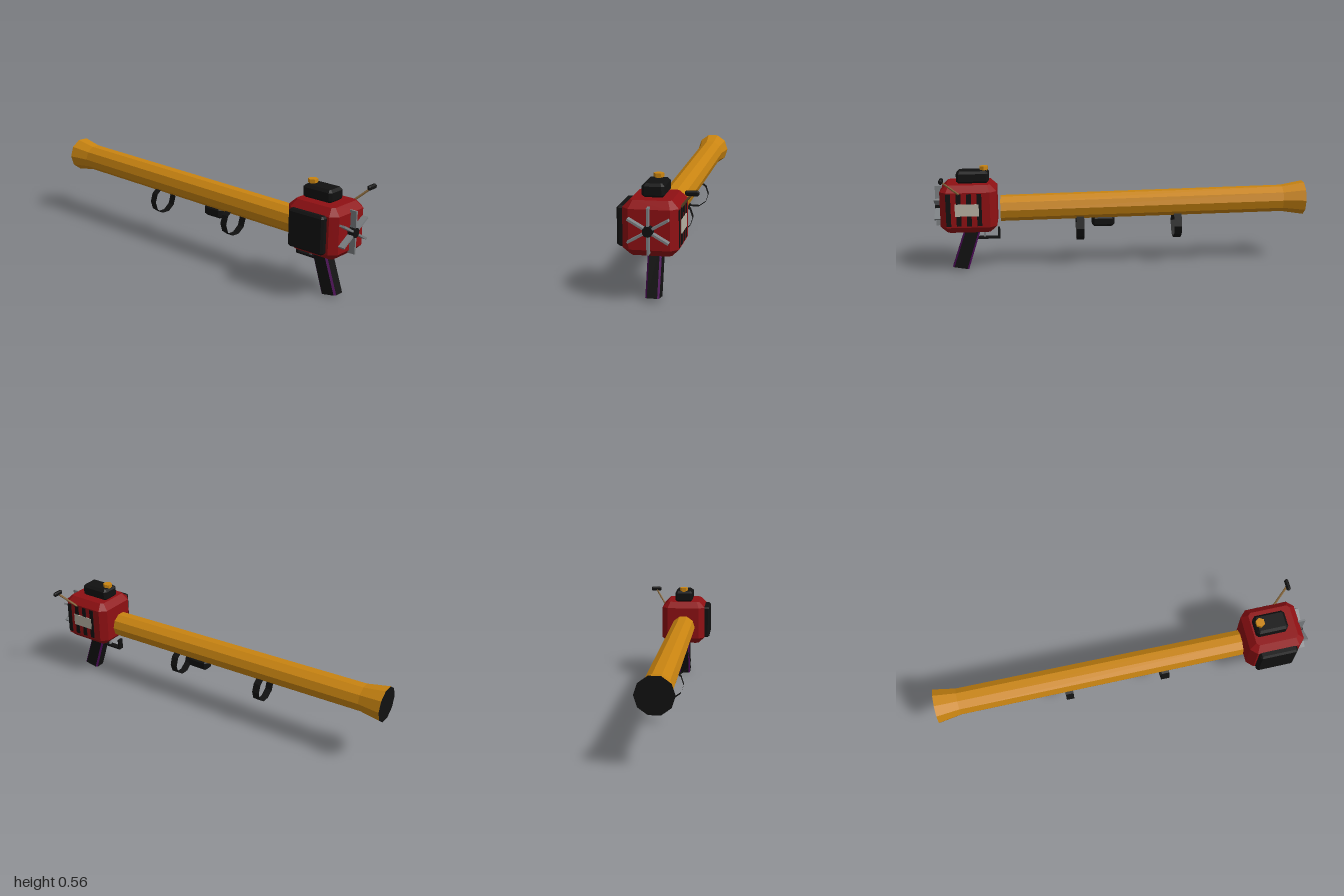
import * as THREE from 'three';

const CX = -0.031; // centre line of the machine

const mat = (name, color, extra = {}) => {
  const m = new THREE.MeshStandardMaterial({ color, flatShading: true, ...extra });
  m.name = name;
  return m;
};

// Block with every edge cut by c, extruded along y
function chamferBlock(w, h, d, c) {
  const a = w / 2, b = d / 2;
  const shape = new THREE.Shape([
    [a, -b + c], [a, b - c], [a - c, b], [-a + c, b],
    [-a, b - c], [-a, -b + c], [-a + c, -b], [a - c, -b],
  ].map(([x, y]) => new THREE.Vector2(x, y)));
  const g = new THREE.ExtrudeGeometry(shape, {
    depth: h - 2 * c, bevelEnabled: true, bevelSegments: 1,
    bevelSize: c, bevelThickness: c, bevelOffset: -c,
  });
  return g.translate(0, 0, -h / 2 + c).rotateX(-Math.PI / 2);
}

// Slanted eight-sided grip: flat sides in one list, cut corners in another
function gripGeometries() {
  const a = 0.033, b = 0.0435, c = 0.009;
  const ring = [[a, b - c], [a - c, b], [-a + c, b], [-a, b - c],
    [-a, -b + c], [-a + c, -b], [a - c, -b], [a, -b + c]];
  const low = ring.map(([x, z]) => [CX + x, (z + b) * 0.17, 0.877 + z]);
  const top = ring.map(([x, z]) => [CX + x, 0.24, 0.8 + z]);
  const sides = [], corners = [];
  for (let i = 0; i < 8; i++) {
    const j = (i + 1) % 8;
    (i % 2 ? sides : corners).push(...low[i], ...top[i], ...low[j], ...low[j], ...top[i], ...top[j]);
    if (i > 0 && i < 7) sides.push(...low[0], ...low[i], ...low[j]);
  }
  return [sides, corners].map((p) => {
    const g = new THREE.BufferGeometry();
    g.setAttribute('position', new THREE.Float32BufferAttribute(p, 3));
    g.computeVertexNormals();
    return g;
  });
}

export function createModel() {
  const model = new THREE.Group();
  model.name = 'blower';

  const red = mat('housing red', 0x8f1013);
  const gold = mat('tube gold', 0xc98411);
  const black = mat('black plastic', 0x111111);
  const blackThin = mat('black strap', 0x111111, { side: THREE.DoubleSide });
  const grey = mat('fan grey', 0x7c8083);
  const purple = mat('grip purple', 0x4d0a58);
  const pale = mat('plate pale', 0xb9b3a4);
  const tan = mat('cord tan', 0x84653a);

  const add = (name, geometry, material, x = 0, y = 0, z = 0, parent = model) => {
    const m = new THREE.Mesh(geometry, material);
    m.name = name;
    m.position.set(x, y, z);
    parent.add(m);
    return m;
  };
  const box = (w, h, d) => new THREE.BoxGeometry(w, h, d);

  // Engine housing with filter cover, fuel cap and side tank
  add('housing', chamferBlock(0.257, 0.254, 0.295, 0.034), red, CX, 0.349, 0.82);
  add('filterCover', chamferBlock(0.105, 0.066, 0.17, 0.013), black, CX, 0.506, 0.798);
  add('fuelCap', new THREE.CylinderGeometry(0.025, 0.025, 0.018, 6, 1, false, Math.PI / 2),
    gold, CX, 0.551, 0.738);
  add('fuelNeck', new THREE.CylinderGeometry(0.018, 0.018, 0.02, 6, 1, false, Math.PI / 2),
    gold, CX, 0.538, 0.738);
  add('sideTank', chamferBlock(0.06, 0.189, 0.206, 0.01), black, -0.16, 0.349, 0.818);

  // Side vents and the plate over them
  for (let i = 0; i < 4; i++) {
    add('vent', box(0.006, 0.172, 0.025), black, 0.0975, 0.35, 0.922 - i * 0.0535);
  }
  add('plate', box(0.008, 0.064, 0.124), pale, 0.0985, 0.35, 0.826);

  // Fan with six spokes
  const fan = new THREE.Group();
  fan.name = 'fan';
  fan.position.set(CX - 0.001, 0.349, 0.98);
  model.add(fan);
  for (let i = 0; i < 6; i++) {
    const a = (i * Math.PI) / 3;
    const spoke = add('spoke', box(0.01, 0.09, 0.038), grey,
      -Math.sin(a) * 0.062, Math.cos(a) * 0.062, 0, fan);
    spoke.rotation.z = a;
  }
  add('fanHub', new THREE.CylinderGeometry(0.025, 0.025, 0.04, 10).rotateX(Math.PI / 2),
    black, 0, 0, 0, fan);

  // Starter cord and pull handle
  const from = new THREE.Vector3(0.09, 0.428, 0.86), to = new THREE.Vector3(0.157, 0.515, 0.947);
  const cord = add('cord', new THREE.CylinderGeometry(0.006, 0.006, from.distanceTo(to), 6), tan);
  cord.position.copy(from).lerp(to, 0.5);
  cord.quaternion.setFromUnitVectors(new THREE.Vector3(0, 1, 0), to.clone().sub(from).normalize());
  add('pullHandle', chamferBlock(0.062, 0.024, 0.02, 0.006), black, 0.159, 0.519, 0.947);

  // Grip, trigger and guard
  const [sides, corners] = gripGeometries();
  add('grip', sides, black);
  add('gripTrim', corners, purple);
  add('guardBar', box(0.03, 0.01, 0.135), black, CX, 0.168, 0.73);
  add('guardFront', box(0.03, 0.06, 0.012), black, CX, 0.193, 0.668);
  add('trigger', box(0.014, 0.06, 0.01), grey, CX, 0.2, 0.744);

  // Ten-sided tube with flared mouth, rising gently along its length
  const slope = 0.0143;
  const profile = [[0, -0.655], [0.07, -0.655], [0.073, 0.88], [0.0935, 1]]
    .map(([r, y]) => new THREE.Vector2(r, y));
  const tube = new THREE.LatheGeometry(profile, 10, Math.PI / 2).rotateX(-Math.PI / 2);
  const p = tube.attributes.position;
  for (let i = 0; i < p.count; i++) p.setY(i, p.getY(i) + 0.328 + (0.655 - p.getZ(i)) * slope);
  tube.computeVertexNormals();
  add('tube', tube, gold, CX - 0.003);
  add('mouth', new THREE.CircleGeometry(0.0935, 10).rotateY(Math.PI), black,
    CX - 0.003, 0.328 + 1.655 * slope, -1);

  // Straps and clip under the tube
  for (const z of [0.23, -0.3]) {
    add('strap', new THREE.CylinderGeometry(0.076, 0.076, 0.041, 10, 1, true, Math.PI / 10).rotateX(Math.PI / 2),
      blackThin, CX - 0.003, 0.22, z);
  }
  add('clip', chamferBlock(0.062, 0.058, 0.122, 0.013), black, CX - 0.003, 0.247, 0.104);

  return model;
}
